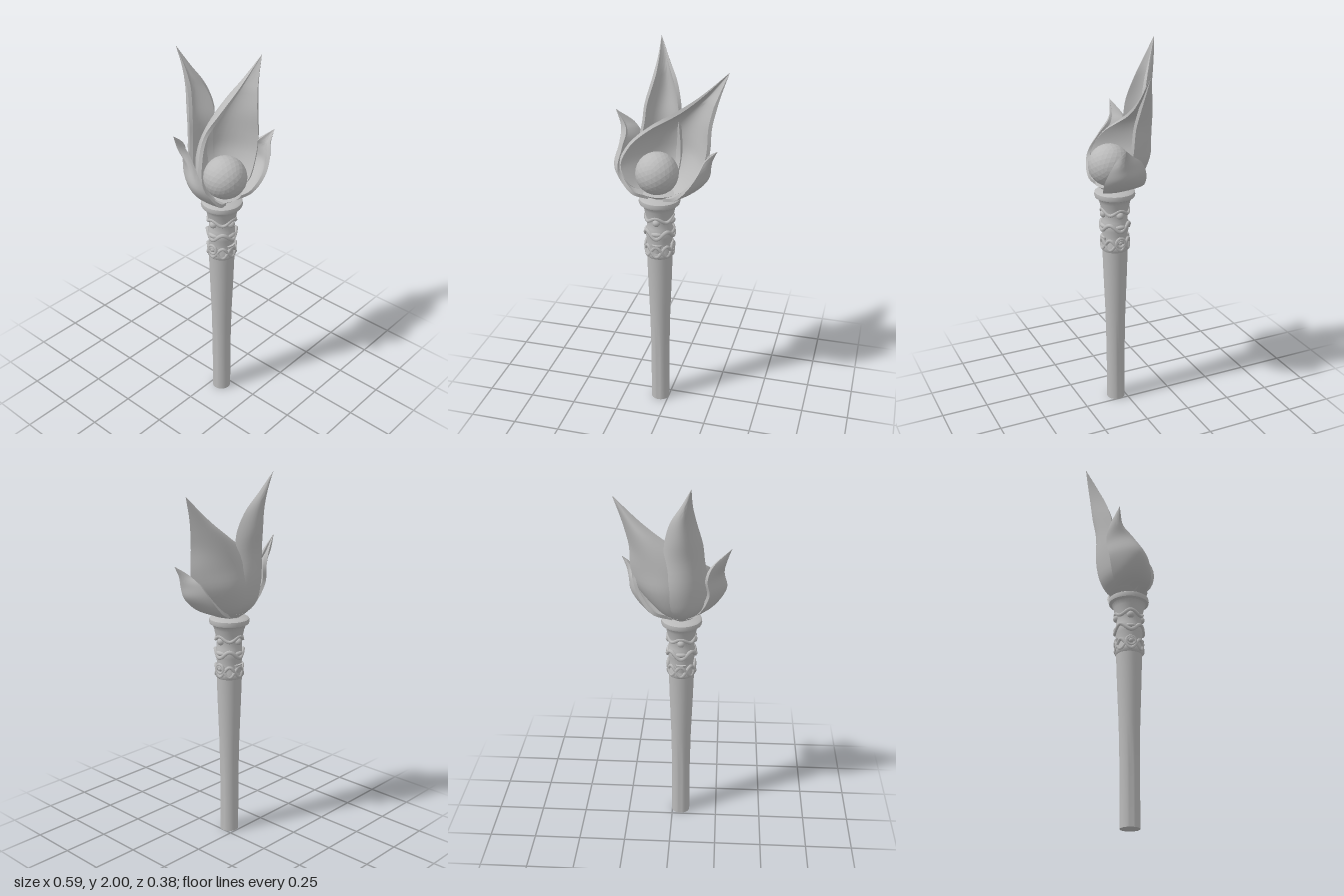
import * as THREE from 'three';
import { toCreasedNormals } from 'three/addons/utils/BufferGeometryUtils.js';

const stone = new THREE.MeshStandardMaterial({ color: 0xbababa, side: THREE.DoubleSide });
stone.name = 'grey stone';

const AXIS = [-0.047, 0, 0.054]; // centre line of the handle

function add(parent, name, geometry, x = 0, y = 0, z = 0) {
  const mesh = new THREE.Mesh(geometry, stone);
  mesh.name = name;
  mesh.position.set(x, y, z);
  parent.add(mesh);
  return mesh;
}

function lathe(profile, segments = 32) {
  const points = profile.map(([r, y]) => new THREE.Vector2(r, y));
  return toCreasedNormals(new THREE.LatheGeometry(points, segments), 0.7);
}

// Thick curved petal; each row gives its left edge, outer middle and right edge.
function petal(rows, thickness = 0.018) {
  const rails = [0, 1, 2].map((k) => new THREE.CatmullRomCurve3(
    rows.map((r) => new THREE.Vector3(...r.slice(k * 3, k * 3 + 3)))));
  const surface = (u, v) => {
    const [l, m, r] = rails.map((c) => c.getPoint(v));
    const control = m.clone().multiplyScalar(2).addScaledVector(l, -0.5).addScaledVector(r, -0.5);
    return new THREE.QuadraticBezierCurve3(l, control, r).getPoint(u);
  };
  const across = 14, along = 28, ring = 2 * (across + 1), e = 0.01;
  const positions = [], index = [];
  for (let i = 0; i <= along; i++) {
    const v = i / along, vn = Math.min(Math.max(v, e), 0.97 - e);
    for (let k = 0; k < ring; k++) {
      const inner = k > across;
      const u = (inner ? ring - 1 - k : k) / across;
      const p = surface(u, v);
      if (inner) {
        const un = Math.min(Math.max(u, e), 1 - e);
        const du = surface(un + e, vn).sub(surface(un - e, vn));
        const dv = surface(un, vn + e).sub(surface(un, vn - e));
        p.addScaledVector(du.cross(dv).normalize(), thickness * Math.min(1, (1 - v) * 4));
      }
      positions.push(p.x, p.y, p.z);
      if (i < along) {
        const a = i * ring + k, b = i * ring + (k + 1) % ring;
        index.push(a, a + ring, b, b, a + ring, b + ring);
      }
    }
  }
  const geometry = new THREE.BufferGeometry();
  geometry.setAttribute('position', new THREE.Float32BufferAttribute(positions, 3));
  geometry.setIndex(index);
  return toCreasedNormals(geometry, 0.8);
}

// Closed wavy band around the handle
function wavyBand(radius, y, height, waves, thickness) {
  const points = [];
  for (let i = 0; i < 48; i++) {
    const a = (i / 48) * Math.PI * 2;
    points.push(new THREE.Vector3(Math.sin(a) * radius, y + height * Math.cos(a * waves), Math.cos(a) * radius));
  }
  return new THREE.TubeGeometry(new THREE.CatmullRomCurve3(points, true), 96, thickness, 6, true);
}

export function createModel() {
  const model = new THREE.Group();
  model.name = 'flower torch';

  const handle = new THREE.Group();
  handle.name = 'handle';
  handle.position.set(...AXIS);
  model.add(handle);

  add(handle, 'shaft', lathe([[0, 0], [0.05, 0], [0.05, 0.3], [0.054, 0.52], [0.063, 0.76], [0.068, 0.92]]));
  add(handle, 'collar', lathe([[0.066, 0.9], [0.074, 0.91], [0.075, 0.93], [0.068, 0.95], [0.066, 0.99], [0.072, 1.02],
    [0.074, 1.05], [0.067, 1.07], [0.066, 1.11], [0.074, 1.14], [0.08, 1.17], [0.09, 1.193], [0.104, 1.2],
    [0.107, 1.21], [0.105, 1.226], [0.094, 1.233], [0, 1.233]]));
  add(handle, 'flower base', lathe([[0.06, 1.225], [0.048, 1.236], [0.075, 1.25], [0.1, 1.268], [0, 1.275]]));

  // Carved ornament on the collar
  add(handle, 'upperWave', wavyBand(0.071, 1.125, 0.013, 4, 0.009));
  add(handle, 'middleWave', wavyBand(0.073, 1.04, -0.018, 4, 0.011));
  add(handle, 'lowerWave', wavyBand(0.071, 0.945, 0.028, 4, 0.009));
  add(handle, 'crossingWave', wavyBand(0.071, 0.945, -0.028, 4, 0.009));
  for (let i = 0; i < 4; i++) {
    const side = new THREE.Group();
    side.name = 'carving';
    side.rotation.y = (i * Math.PI) / 2;
    handle.add(side);
    add(side, 'upperStud', new THREE.SphereGeometry(0.02, 10, 8), 0, 1.11, 0.064);
    add(side, 'swag', new THREE.SphereGeometry(0.025, 10, 8), 0, 1.045, 0.062).scale.set(1.3, 0.6, 0.8);
    if (i % 2) {
      add(side, 'rosetteRing', new THREE.TorusGeometry(0.024, 0.008, 6, 16), 0, 0.96, 0.07);
      add(side, 'rosetteStud', new THREE.SphereGeometry(0.014, 10, 8), 0, 0.96, 0.068);
    } else {
      const leaf = add(side, 'hangingLeaf', new THREE.ConeGeometry(0.028, 0.13, 8), 0, 0.92, 0.064);
      leaf.rotation.x = Math.PI + 0.03;
      leaf.scale.z = 0.45;
    }
  }

  // Orb, faceted
  const orb = new THREE.IcosahedronGeometry(0.11, 4);
  orb.computeVertexNormals();
  add(model, 'orb', orb, -0.052, 1.37, 0.081);

  const flower = new THREE.Group();
  flower.name = 'flower';
  model.add(flower);

  add(flower, 'mainPetal', petal([
    [-0.1, 1.235, 0.07, -0.05, 1.235, 0.01, 0, 1.235, 0.07],
    [-0.2, 1.3, 0.11, -0.03, 1.29, -0.065, 0.1, 1.28, 0.1],
    [-0.25, 1.4, 0.09, 0, 1.42, -0.108, 0.19, 1.4, 0.08],
    [-0.21, 1.5, 0.05, 0.03, 1.53, -0.102, 0.215, 1.5, 0.07],
    [-0.11, 1.585, -0.005, 0.09, 1.62, -0.085, 0.22, 1.62, 0.06],
    [0.01, 1.66, -0.01, 0.15, 1.71, -0.06, 0.235, 1.7, 0.045],
    [0.14, 1.755, 0, 0.21, 1.785, -0.028, 0.255, 1.78, 0.03],
    [0.292, 1.895, 0.015, 0.292, 1.895, 0.015, 0.292, 1.895, 0.015],
  ]));
  add(flower, 'tallBackPetal', petal([
    [-0.09, 1.24, 0.03, -0.05, 1.24, -0.01, 0, 1.24, 0.02],
    [-0.17, 1.32, -0.02, -0.07, 1.31, -0.085, 0.03, 1.31, -0.05],
    [-0.19, 1.43, -0.03, -0.08, 1.43, -0.116, 0.04, 1.42, -0.09],
    [-0.165, 1.59, -0.05, -0.075, 1.6, -0.125, 0.035, 1.58, -0.08],
    [-0.155, 1.68, -0.06, -0.06, 1.71, -0.145, 0.035, 1.68, -0.07],
    [-0.125, 1.8, -0.095, -0.06, 1.82, -0.16, 0.005, 1.8, -0.1],
    [-0.106, 1.9, -0.14, -0.075, 1.91, -0.176, -0.05, 1.9, -0.145],
    [-0.1, 2, -0.192, -0.1, 2, -0.192, -0.1, 2, -0.192],
  ]));
  add(flower, 'leftPetal', petal([
    [-0.09, 1.24, 0.12, -0.1, 1.24, 0.06, -0.07, 1.24, 0],
    [-0.17, 1.275, 0.15, -0.215, 1.31, 0.05, -0.14, 1.3, -0.04],
    [-0.245, 1.38, 0.125, -0.273, 1.4, 0.05, -0.19, 1.41, -0.07],
    [-0.24, 1.48, 0.06, -0.258, 1.5, 0.01, -0.18, 1.5, -0.085],
    [-0.235, 1.56, 0, -0.268, 1.57, -0.03, -0.205, 1.57, -0.075],
    [-0.296, 1.65, -0.03, -0.296, 1.65, -0.03, -0.296, 1.65, -0.03],
  ]));
  add(flower, 'rightPetal', petal([
    [0, 1.24, 0, 0.02, 1.24, 0.07, -0.01, 1.235, 0.12],
    [0.1, 1.29, -0.04, 0.15, 1.3, 0.08, 0.06, 1.265, 0.165],
    [0.17, 1.38, -0.02, 0.215, 1.37, 0.1, 0.13, 1.34, 0.187],
    [0.2, 1.45, 0.02, 0.227, 1.43, 0.11, 0.18, 1.42, 0.175],
    [0.215, 1.49, 0.075, 0.24, 1.48, 0.12, 0.21, 1.485, 0.15],
    [0.266, 1.537, 0.132, 0.266, 1.537, 0.132, 0.266, 1.537, 0.132],
  ]));

  return model;
}
